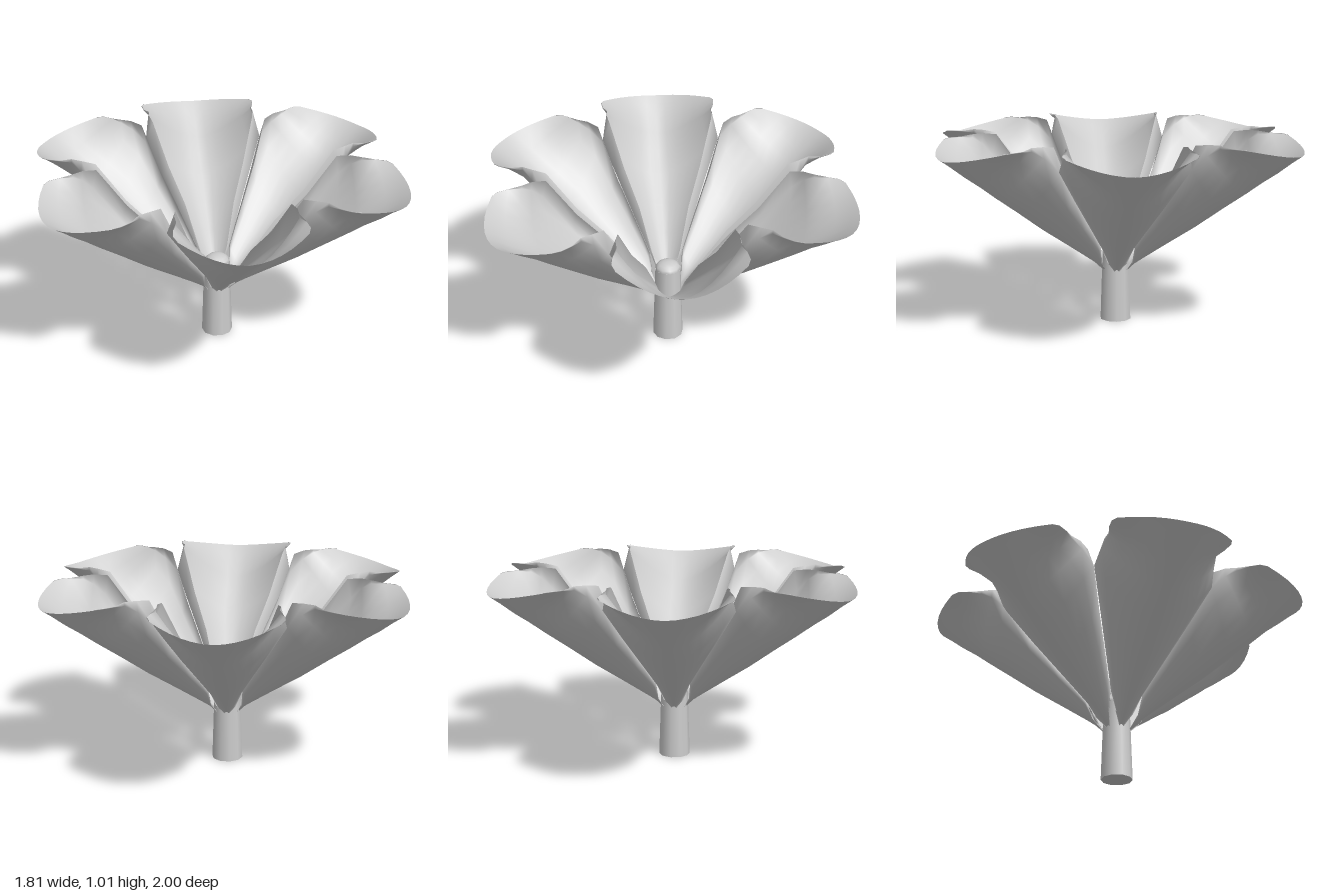
import * as THREE from 'three';

// Petal ribs, base to rim: midline [out, y], edge [out, half width, y], curled lip [inward, up]
const RIBS = [
  [0.07, 0.28, 0.07, 0.012, 0.27, 0, 0],
  [0.11, 0.31, 0.12, 0.05, 0.33, 0, 0],
  [0.16, 0.345, 0.15, 0.085, 0.42, 0.005, 0.01],
  [0.3, 0.44, 0.28, 0.16, 0.57, 0.025, 0.05],
  [0.45, 0.54, 0.42, 0.24, 0.73, 0.032, 0.06],
  [0.6, 0.65, 0.55, 0.317, 0.89, 0.04, 0.11],
  [0.72, 0.735, 0.62, 0.3, 0.96, 0.01, 0.05],
  [0.8, 0.795, 0.68, 0.287, 0.995, 0, 0.015],
  [0.88, 0.85, 0.74, 0.308, 1.0, 0, 0],
  [0.95, 0.905, 0.8, 0.315, 1.0, 0, 0],
  [1.0, 0.94, 0.84, 0.3, 0.995, 0, 0],
];
const HALF = 6; // steps from midline to edge

function petalGeometry() {
  const pos = [], index = [];
  const cols = 2 * HALF + 3; // one extra lip column on each side
  for (const [ca, cy, ea, ew, ey, lipIn, lipUp] of RIBS) {
    for (let c = 0; c < cols; c++) {
      const k = c - HALF - 1;
      const side = Math.sign(k);
      const u = Math.min(Math.abs(k) / HALF, 1);
      const lip = Math.abs(k) > HALF ? 1 : 0;
      pos.push(
        side * (u * ew - lip * (lipIn + 0.002)),
        cy + (ey - cy) * u ** 1.7 + lip * (lipUp + 0.003),
        ca + (ea - ca) * u * u,
      );
    }
  }
  for (let r = 0; r < RIBS.length - 1; r++) {
    for (let c = 0; c < cols - 1; c++) {
      const a = r * cols + c, b = a + 1, d = a + cols, e = d + 1;
      // mirror the diagonals about the midline
      if (c <= HALF) index.push(a, d, b, b, d, e);
      else index.push(a, d, e, a, e, b);
    }
  }
  const g = new THREE.BufferGeometry();
  g.setAttribute('position', new THREE.Float32BufferAttribute(pos, 3));
  g.setIndex(index);
  g.computeVertexNormals();
  return g;
}

export function createModel() {
  const flower = new THREE.Group();
  flower.name = 'flower';
  const grey = new THREE.MeshStandardMaterial({ color: 0xcccccc, side: THREE.DoubleSide });
  grey.name = 'pale grey';

  // Six identical petals around the stem
  const geometry = petalGeometry();
  for (let i = 0; i < 6; i++) {
    const petal = new THREE.Mesh(geometry, grey);
    petal.name = 'petal' + (i + 1);
    petal.rotation.y = (i * Math.PI) / 3;
    flower.add(petal);
  }

  // Slightly tapering stem with a rounded top
  const stem = new THREE.Mesh(new THREE.CylinderGeometry(0.068, 0.082, 0.42, 10), grey);
  stem.name = 'stem';
  stem.position.y = 0.21;
  flower.add(stem);

  const heart = new THREE.Mesh(new THREE.SphereGeometry(0.068, 10, 4, 0, Math.PI * 2, 0, Math.PI / 2), grey);
  heart.name = 'flowerHeart';
  heart.scale.y = 0.6;
  heart.position.y = 0.42;
  flower.add(heart);

  return flower;
}
